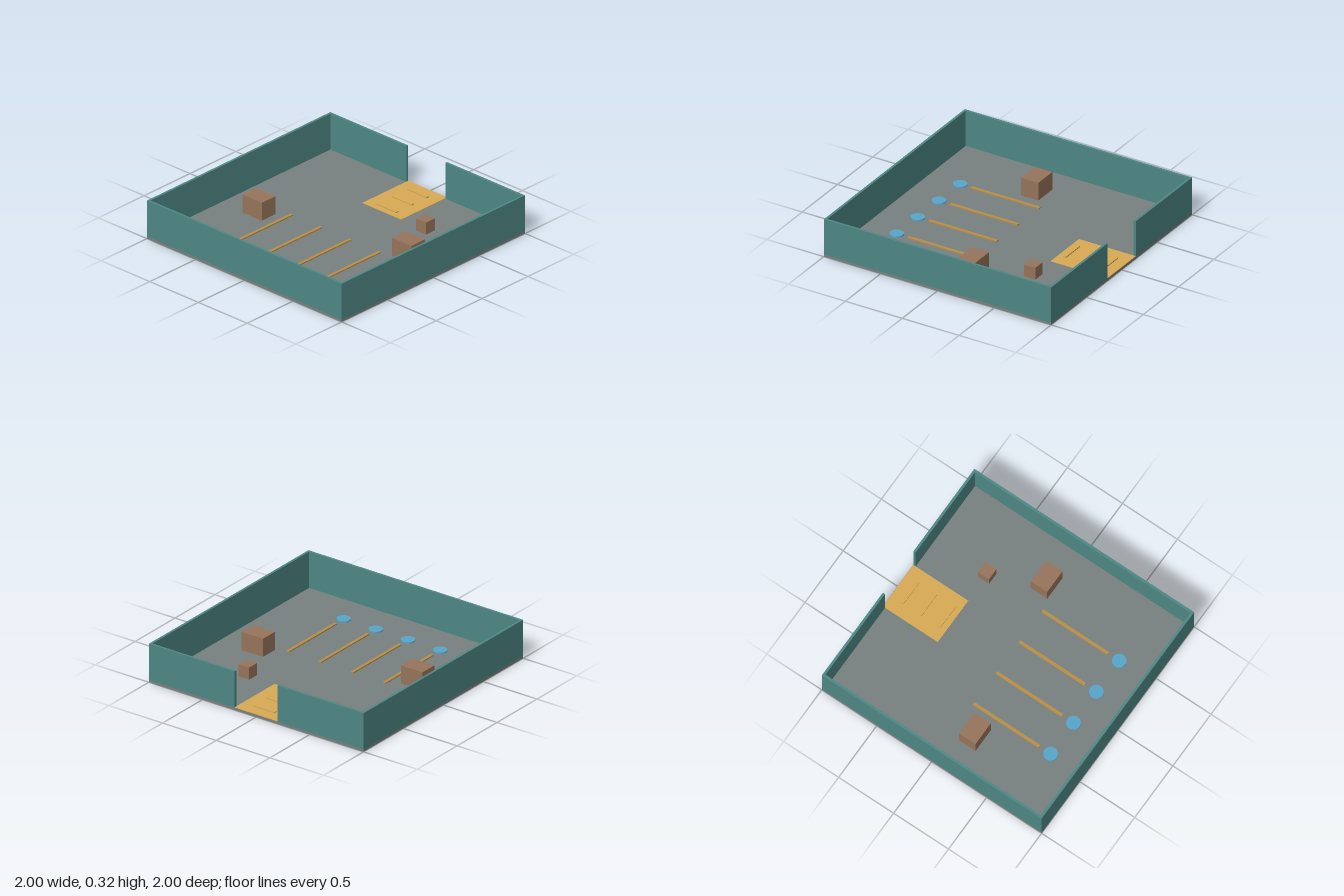
import * as THREE from 'three';

const FLOOR = 0.02;
const material = (color) => new THREE.MeshStandardMaterial({ color });

export function createModel() {
  const model = new THREE.Group();
  const floorMat = material(0x778180);
  const wallMat = material(0x4d8784);
  const crateMat = material(0x96745a);
  const padMat = material(0xd9aa55);
  const stripMat = material(0xba8f48);
  const discMat = material(0x58a6c9);

  // Adds a mesh whose underside rests at height y
  const place = (name, geometry, mat, height, x, y, z) => {
    const mesh = new THREE.Mesh(geometry, mat);
    mesh.name = name;
    mesh.position.set(x, y + height / 2, z);
    model.add(mesh);
  };
  const box = (name, mat, w, h, d, x, y, z) =>
    place(name, new THREE.BoxGeometry(w, h, d), mat, h, x, y, z);

  // Floor slab
  box('floor', floorMat, 2, FLOOR, 2, 0, 0, 0);

  // Perimeter walls, with a doorway in the back wall
  const wallH = 0.3, t = 0.02;
  box('frontWall', wallMat, 2, wallH, t, 0, FLOOR, 1 - t / 2);
  for (const [side, s] of [['left', 1], ['right', -1]]) {
    box(`${side}Wall`, wallMat, t, wallH, 2 - 2 * t, s * (1 - t / 2), FLOOR, 0);
    box(`${side}BackWall`, wallMat, 0.8, wallH, t, s * 0.6, FLOOR, -1 + t / 2);
  }

  // Entrance pad with three raised ribs
  const padH = 0.004;
  box('entrancePad', padMat, 0.4, padH, 0.5, 0, FLOOR, -0.75);
  for (const z of [-0.895, -0.73, -0.56]) {
    box('padRib', padMat, 0.2, 0.01, 0.025, 0, FLOOR + padH, z);
  }

  // Lane strips, each leading to a round marker
  for (const x of [-0.45, -0.15, 0.15, 0.45]) {
    box('laneStrip', stripMat, 0.025, 0.01, 0.6, x, FLOOR, 0.3);
    place('laneMarker', new THREE.CylinderGeometry(0.055, 0.055, 0.01, 32), discMat, 0.01, x, FLOOR, 0.7);
  }

  // Crates
  box('rightCrate', crateMat, 0.2, 0.15, 0.15, -0.65, FLOOR, 0.15);
  box('leftCrate', crateMat, 0.2, 0.15, 0.15, 0.65, FLOOR, -0.1);
  box('smallCrate', crateMat, 0.1, 0.1, 0.1, 0.45, FLOOR, -0.5);

  return model;
}
